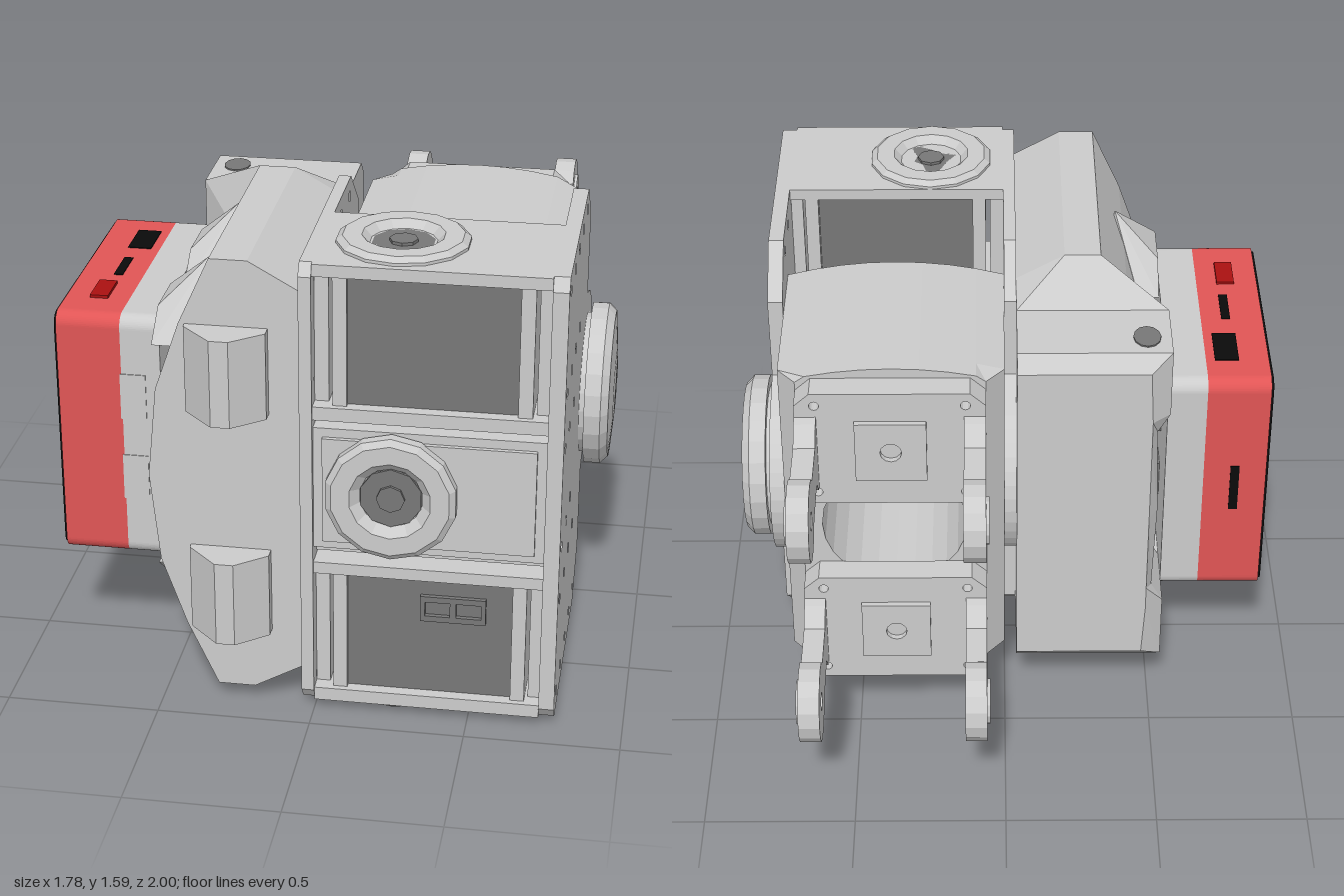
import * as THREE from 'three';
import { ConvexGeometry } from 'three/addons/geometries/ConvexGeometry.js';

const mat = (color) => new THREE.MeshStandardMaterial({ color, flatShading: true });
const MID = 0.8; // height of the mirror plane

export function createModel() {
  const root = new THREE.Group();
  const grey = mat(0xcccccc), dark = mat(0x777777), red = mat(0xe05555), black = mat(0x0a0a0a);
  const deepRed = mat(0xaa1111);

  const add = (name, geo, m = grey, parent = root) => {
    const mesh = new THREE.Mesh(geo, m);
    mesh.name = name;
    parent.add(mesh);
    return mesh;
  };
  // box given by its limits on each axis
  const box = (name, x0, x1, y0, y1, z0, z1, m, parent) => {
    const mesh = add(name, new THREE.BoxGeometry(x1 - x0, y1 - y0, z1 - z0), m, parent);
    mesh.position.set((x0 + x1) / 2, (y0 + y1) / 2, (z0 + z1) / 2);
    return mesh;
  };
  const poly = (pts) => new THREE.Shape(pts.map(([a, b]) => new THREE.Vector2(a, b)));
  const hole = (shape, x, y, r) =>
    shape.holes.push(new THREE.Path().absarc(x, y, r, 0, Math.PI * 2, true));
  const extrude = (shape, depth, curveSegments = 6) =>
    new THREE.ExtrudeGeometry(shape, { depth, bevelEnabled: false, curveSegments });
  // shape drawn in (z, y), spanning x0..x1
  const slab = (name, shape, x0, x1, m, parent, seg) => {
    const geo = extrude(shape, x1 - x0, seg).rotateY(-Math.PI / 2).translate(x1, 0, 0);
    return add(name, geo, m, parent);
  };

  // Side plates with a round rear tab and rows of bolt holes
  const plate = new THREE.Shape();
  plate.moveTo(0.91, 0.07);
  [[0.88, 0.03], [0.13, 0.03], [-0.03, 0.17], [-0.03, 0.47]].forEach(([z, y]) => plate.lineTo(z, y));
  plate.absarc(-0.06, MID, 0.3, -1.85, 1.85, true);
  [[-0.03, 1.13], [-0.03, 1.42], [0.13, 1.56], [0.88, 1.56], [0.91, 1.52]].forEach(([z, y]) => plate.lineTo(z, y));
  [[1.5, 5], [1.16, 4], [0.97, 3], [0.63, 3], [0.44, 4], [0.1, 5]].forEach(([y, n]) => {
    for (let i = 0; i < n; i++) hole(plate, 0.84 - 0.17 * i, y, 0.018);
  });
  slab('rightSidePlate', plate, -0.04, 0, grey, root, 8);
  slab('leftSidePlate', plate, 0.73, 0.78, grey, root, 8);

  // Round hub cap on the left plate
  const cap = new THREE.LatheGeometry(
    [[0, 0], [0.24, 0], [0.24, 0.02], [0.275, 0.02], [0.275, 0.075], [0.25, 0.1], [0.12, 0.11], [0, 0.112]]
      .map(([r, h]) => new THREE.Vector2(r, h)), 24);
  const capMesh = add('hubCap', cap);
  capMesh.rotation.z = -Math.PI / 2;
  capMesh.position.set(0.778, MID, -0.03);

  // Turning horn: dished disc with a dark hub, facing +y before it is turned
  const horn = (name) => {
    const g = new THREE.Group();
    g.name = name;
    root.add(g);
    add('hornDisc', new THREE.LatheGeometry(
      [[0.21, -0.02], [0.21, 0.015], [0.19, 0.03], [0.13, 0.03], [0.1, 0.0], [0.1, -0.02], [0, -0.02]]
        .map(([r, h]) => new THREE.Vector2(r, h)), 12), mat(0xcccccc)).removeFromParent();
    const disc = new THREE.LatheGeometry(
      [[0, -0.02], [0.21, -0.02], [0.21, 0.015], [0.19, 0.03], [0.13, 0.03], [0.1, 0.0], [0.1, -0.01], [0, -0.01]]
        .map(([r, h]) => new THREE.Vector2(r, h)), 14);
    add('hornDisc', disc, grey, g);
    add('hornHub', new THREE.CylinderGeometry(0.1, 0.1, 0.01, 10), dark, g);
    add('hornScrew', new THREE.CylinderGeometry(0.045, 0.045, 0.03, 8), dark, g);
    return g;
  };
  horn('topHorn').position.set(0.25, 1.555, 0.67);
  const bottomHorn = horn('bottomHorn');
  bottomHorn.position.set(0.25, 0.03, 0.67);
  bottomHorn.rotation.x = Math.PI;
  const frontHorn = horn('frontHorn');
  frontHorn.position.set(0.25, MID, 0.92);
  frontHorn.rotation.x = Math.PI / 2;

  // Upper and lower motors: end plates, corner posts and a dark core
  [[1.04, 1.56, 'upperMotor'], [0.03, 0.54, 'lowerMotor']].forEach(([y0, y1, name]) => {
    const g = new THREE.Group();
    g.name = name;
    root.add(g);
    box('motorFloor', 0, 0.73, y0, y0 + 0.045, 0.46, 0.9, grey, g);
    box('motorRoof', 0, 0.73, y1 - 0.04, y1, 0.46, 0.9, grey, g);
    box('motorCore', 0.1, 0.64, y0 + 0.04, y1 - 0.04, 0.5, 0.86, dark, g);
    [[0, 0.045], [0.06, 0.105], [0.635, 0.68], [0.69, 0.73]].forEach(([a, b], i) => {
      const inset = i === 0 || i === 3 ? 0.03 : 0;
      box('motorPost', a, b, y0 + 0.04, y1 - 0.04, 0.46 + inset, 0.88 - inset, grey, g);
    });
  });

  // Middle motor and the short shafts that join the three
  box('middleMotor', 0, 0.73, 0.59, 1.01, 0.46, 0.89);
  box('middleMotorFace', 0.03, 0.7, 0.62, 0.98, 0.89, 0.905);
  [0.565, 1.025].forEach((y) => {
    add('joinShaft', new THREE.CylinderGeometry(0.1, 0.1, 0.07, 10), dark).position.set(0.25, y, 0.67);
    box('joinRail', 0, 0.73, y - 0.012, y + 0.012, 0.5, 0.84);
  });
  const stub = add('rearShaft', new THREE.CylinderGeometry(0.05, 0.05, 0.06, 10), dark);
  stub.rotation.x = Math.PI / 2;
  stub.position.set(0.25, MID, 0.43);

  // Twin socket on the lower motor
  const socket = poly([[0.34, 0.34], [0.55, 0.34], [0.55, 0.43], [0.34, 0.43]]);
  [0.355, 0.455].forEach((x) =>
    socket.holes.push(poly([[x, 0.36], [x, 0.41], [x + 0.08, 0.41], [x + 0.08, 0.36]])));
  add('twinSocket', extrude(socket, 0.02).translate(0, 0, 0.855), dark);

  // Rear body: arched top and bottom, round bore, chamfered rear corners
  const top = [];
  for (let i = 0; i <= 8; i++) {
    const t = i / 8;
    top.push([0.73 * t, 1.37 + 0.05 * (1 - (2 * t - 1) ** 2)]);
  }
  const bodyShape = poly([...top.map(([x, y]) => [x, 2 * MID - y]), ...top.reverse()]);
  hole(bodyShape, 0.365, MID, 0.24);
  add('rearBody', extrude(bodyShape, 0.57, 12).translate(0, 0, -0.35));
  const rim = extrude(bodyShape, 0.07, 12).translate(0, 0, -0.42);
  const p = rim.attributes.position;
  for (let i = 0; i < p.count; i++)
    if (p.getZ(i) < -0.4) p.setX(i, THREE.MathUtils.clamp(p.getX(i), 0.06, 0.67));
  rim.computeVertexNormals();
  add('rearBodyChamfer', rim);

  // Rear brackets, each with two eyed arms
  [0.425, 1.17].forEach((y) => {
    const g = new THREE.Group();
    g.name = 'rearBracket';
    root.add(g);
    const base = poly([[0.06, y - 0.17], [0.11, y - 0.215], [0.62, y - 0.215], [0.67, y - 0.17],
      [0.67, y + 0.17], [0.62, y + 0.215], [0.11, y + 0.215], [0.06, y + 0.17]]);
    [-1, 1].forEach((s) => [-1, 1].forEach((t) => hole(base, 0.365 + s * 0.24, y + t * 0.17, 0.016)));
    add('bracketPlate', extrude(base, 0.09).translate(0, 0, -0.51), grey, g);
    const boss = poly([[0.25, y - 0.11], [0.48, y - 0.11], [0.48, y + 0.11], [0.25, y + 0.11]]);
    hole(boss, 0.365, y, 0.035);
    add('bracketBoss', extrude(boss, 0.02).translate(0, 0, -0.53), grey, g);
    const arm = new THREE.Shape();
    arm.moveTo(-0.5, y + 0.13);
    arm.lineTo(-0.54, y + 0.12);
    arm.lineTo(-0.6, y + 0.07);
    arm.absarc(-0.87, y - 0.01, 0.13, 0.65, Math.PI * 2 - 0.65, false);
    arm.lineTo(-0.6, y - 0.07);
    arm.lineTo(-0.54, y - 0.14);
    arm.lineTo(-0.5, y - 0.15);
    hole(arm, -0.87, y - 0.01, 0.03);
    const washer = new THREE.Shape().absarc(-0.87, y - 0.01, 0.075, 0, Math.PI * 2);
    hole(washer, -0.87, y - 0.01, 0.03);
    slab('bracketArm', arm, 0.06, 0.13, grey, g);
    slab('bracketArm', arm, 0.6, 0.67, grey, g);
    slab('eyeWasher', washer, 0.05, 0.06, grey, g);
    slab('eyeWasher', washer, 0.67, 0.68, grey, g);
  });

  // Side housing: loft of mirrored cross-sections along z
  const front = [[-0.04, 1.46], [-0.2, 1.55], [-0.32, 1.55], [-0.42, 1.33], [-0.5, 1.1], [-0.53, MID]];
  const rear = [[-0.04, 1.43], [-0.2, 1.43], [-0.54, 1.43], [-0.54, 1.19], [-0.5, 1.12], [-0.51, MID]];
  const end = [[-0.04, 1.38], [-0.2, 1.38], [-0.47, 1.38], [-0.48, 1.19], [-0.48, 1.1], [-0.48, MID]];
  const full = (h) => [...h, ...h.slice(0, -1).reverse().map(([x, y]) => [x, 2 * MID - y])];
  const sections = [[front, 0.88], [front, 0.05], [rear, -0.1], [rear, -0.35], [end, -0.4]]
    .map(([h, z]) => full(h).map(([x, y]) => [x, y, z]));
  const n = sections[0].length, verts = [], index = [];
  sections.forEach((s) => s.forEach((v) => verts.push(...v)));
  for (let k = 0; k < sections.length - 1; k++)
    for (let i = 0; i < n; i++) {
      const a = k * n + i, b = k * n + (i + 1) % n;
      index.push(a, b, a + n, b, b + n, a + n);
    }
  [0, sections.length - 1].forEach((k) => {
    const flat = sections[k].map(([x, y]) => new THREE.Vector2(x, y));
    THREE.ShapeUtils.triangulateShape(flat, []).forEach((f) => index.push(...f.map((i) => i + k * n)));
  });
  const housing = new THREE.BufferGeometry();
  housing.setAttribute('position', new THREE.Float32BufferAttribute(verts, 3));
  housing.setIndex(index);
  const housingGeo = housing.toNonIndexed();
  housingGeo.computeVertexNormals();
  const shell = mat(0xcccccc);
  shell.side = THREE.DoubleSide;
  add('sideHousing', housingGeo, shell);

  // Housing front blocks, ribs and screw pockets, mirrored top to bottom
  [-1, 1].forEach((s) => {
    const block = poly([[-0.4, -0.87], [-0.14, -0.87], [-0.14, -0.92], [-0.24, -1], [-0.3, -1], [-0.4, -0.9]].reverse());
    add('frontBlock', extrude(block, 0.29).rotateX(-Math.PI / 2).translate(0, MID + s * 0.385 - 0.145, 0));
    [0.07, 0.55].forEach((z) => {
      const pts = [[-0.54, 0.39, -0.2], [-0.54, 0.39, 0.2], [-0.47, 0.39, -0.2], [-0.46, 0.39, 0.2],
        [-0.54, 0.48, -0.09], [-0.54, 0.48, 0.09], [-0.39, 0.62, 0], [-0.36, 0.5, 0]]
        .map(([x, y, dz]) => new THREE.Vector3(x, MID + s * y, z + dz));
      add('sideRib', new ConvexGeometry(pts));
    });
    const pocket = add('screwPocket', new THREE.CylinderGeometry(0.045, 0.045, 0.02, 12), dark);
    pocket.position.set(-0.46, MID + s * 0.625, -0.26);
    pocket.scale.z = 1.3;
    box('deviceMount', -0.56, -0.45, MID + s * 0.135 - 0.065, MID + s * 0.135 + 0.065, 0.0, 0.42, dark);
  });

  // Device: grey back, red case, black screen with three buttons
  const device = new THREE.Group();
  device.name = 'device';
  root.add(device);
  const rounded = (z0, z1, y0, y1, r) => {
    const s = new THREE.Shape();
    s.absarc(z1 - r, y1 - r, r, 0, Math.PI / 2);
    s.absarc(z0 + r, y1 - r, r, Math.PI / 2, Math.PI);
    s.absarc(z0 + r, y0 + r, r, Math.PI, Math.PI * 1.5);
    s.absarc(z1 - r, y0 + r, r, Math.PI * 1.5, Math.PI * 2);
    return s;
  };
  const outline = rounded(-0.23, 0.64, 0.37, 1.23, 0.045);
  slab('deviceBack', outline, -0.67, -0.54, grey, device);
  slab('deviceCase', outline, -0.88, -0.67, red, device);
  slab('screen', rounded(-0.22, 0.63, 0.38, 1.22, 0.04), -0.888, -0.88, black, device);
  [0.6, MID, 1.0].forEach((y) =>
    box('button', -0.895, -0.885, y - 0.06, y + 0.06, -0.17, -0.09, dark, device));
  box('topPort', -0.78, -0.7, 1.2, 1.233, -0.1, 0.06, black, device);
  box('topSlot', -0.77, -0.74, 1.2, 1.233, 0.15, 0.3, black, device);
  box('powerKey', -0.8, -0.74, 1.2, 1.24, 0.37, 0.5, deepRed, device);
  box('rearSlot', -0.79, -0.76, 0.71, 0.89, -0.233, -0.2, black, device);
  [0.66, 0.95].forEach((y) =>
    box('frontPad', -0.675, -0.59, y - 0.08, y + 0.08, 0.6, 0.643, grey, device));

  return root;
}
